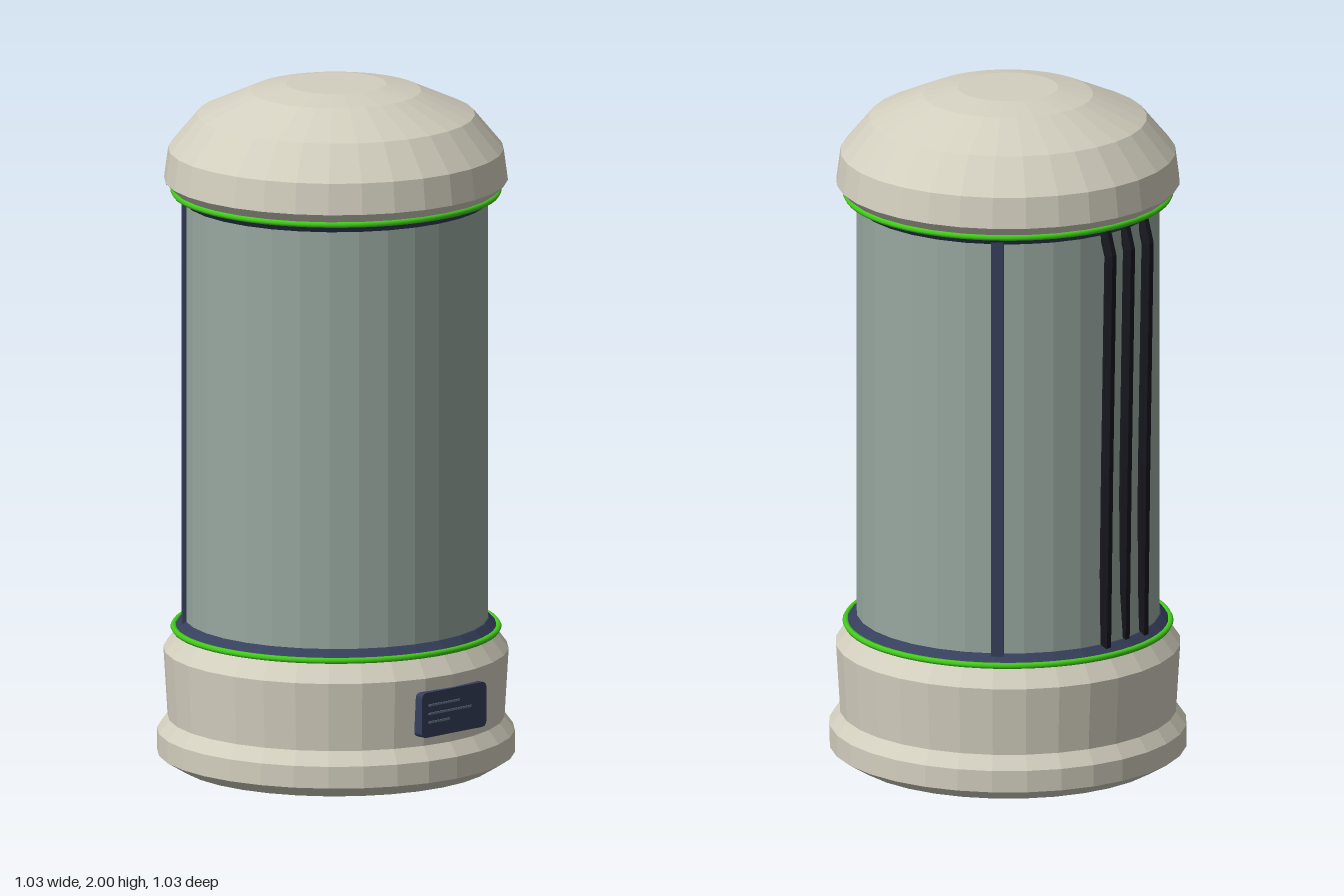
import * as THREE from 'three';

const mat = (name, color, flatShading = false) => {
  const m = new THREE.MeshStandardMaterial({ color, flatShading });
  m.name = name;
  return m;
};

export function createModel() {
  const group = new THREE.Group();
  const shell = mat('ivory shell', 0xd3cfbf, true);
  const glass = mat('grey green glass', 0x98a8a0, true);
  const navy = mat('navy trim', 0x363f5c, true);
  const green = mat('glowing green', 0x44d01c);
  const black = mat('black cable', 0x17181f, true);
  const text = mat('panel line', 0x66768a);

  const add = (name, geometry, material, x = 0, y = 0, z = 0) => {
    const mesh = new THREE.Mesh(geometry, material);
    mesh.name = name;
    mesh.position.set(x, y, z);
    group.add(mesh);
    return mesh;
  };
  // profiles run from bottom to top as [radius, height]
  const lathe = (points) =>
    new THREE.LatheGeometry(points.map(([r, y]) => new THREE.Vector2(r, y)), 32);

  // Stepped base and domed cap
  add('base', lathe([[0, 0], [0.455, 0], [0.515, 0.036], [0.515, 0.1], [0.485, 0.14],
    [0.497, 0.34], [0.455, 0.397], [0, 0.397]]), shell);
  add('cap', lathe([[0, 1.69], [0.465, 1.69], [0.495, 1.72], [0.483, 1.81], [0.4, 1.91],
    [0.245, 1.98], [0.145, 2], [0, 2]]), shell);

  // Glass tank
  add('tank', new THREE.CylinderGeometry(0.437, 0.437, 1.27, 32, 1, true), glass, 0, 1.045, 0);

  // Navy collars and green light rings at both ends of the tank
  add('lowerCollar', lathe([[0.45, 0.395], [0.464, 0.405], [0.44, 0.43], [0.42, 0.43]]), navy);
  add('upperCollar', lathe([[0.42, 1.658], [0.44, 1.658], [0.464, 1.683], [0.45, 1.693]]), navy);
  for (const [name, y] of [['lowerLightRing', 0.402], ['upperLightRing', 1.686]]) {
    const ring = new THREE.TorusGeometry(0.467, 0.009, 6, 64);
    ring.rotateX(Math.PI / 2);
    add(name, ring, green, 0, y, 0);
  }

  // Vertical seams on both sides
  for (const side of [-1, 1]) {
    const seam = add(side > 0 ? 'leftSeam' : 'rightSeam',
      new THREE.BoxGeometry(0.036, 1.25, 0.02), navy, side * 0.357, 1.045, -0.25);
    seam.rotation.y = Math.atan2(side * 0.357, -0.25);
  }

  // Three bent cables down the back
  for (const x of [-0.085, 0, 0.085]) {
    const path = new THREE.CatmullRomCurve3([
      new THREE.Vector3(x, 1.675, -0.425),
      new THREE.Vector3(x + 0.012, 1.6, -0.457),
      new THREE.Vector3(x + 0.025, 0.95, -0.455),
      new THREE.Vector3(x, 0.42, -0.427),
    ]);
    // sample exactly at the bends so the cable stays angular
    path.getPointAt = path.getPoint;
    path.getTangentAt = path.getTangent;
    add('cable', new THREE.TubeGeometry(path, 3, 0.018, 6), black);
  }

  // Front panel with rounded corners and thin read-out lines
  const w = 0.125, h = 0.066, r = 0.015;
  const plate = new THREE.Shape();
  plate.absarc(w - r, h - r, r, 0, Math.PI / 2);
  plate.absarc(-w + r, h - r, r, Math.PI / 2, Math.PI);
  plate.absarc(-w + r, -h + r, r, Math.PI, Math.PI * 1.5);
  plate.absarc(w - r, -h + r, r, Math.PI * 1.5, Math.PI * 2);
  add('panel', new THREE.ExtrudeGeometry(plate, { depth: 0.035, bevelEnabled: false, curveSegments: 4 }),
    navy, 0, 0.236, 0.468);
  [[0.12, 0.264], [0.165, 0.239], [0.08, 0.214]].forEach(([length, y]) =>
    add('panelLine', new THREE.BoxGeometry(length, 0.006, 0.004), text, -0.1 + length / 2, y, 0.504));

  return group;
}
